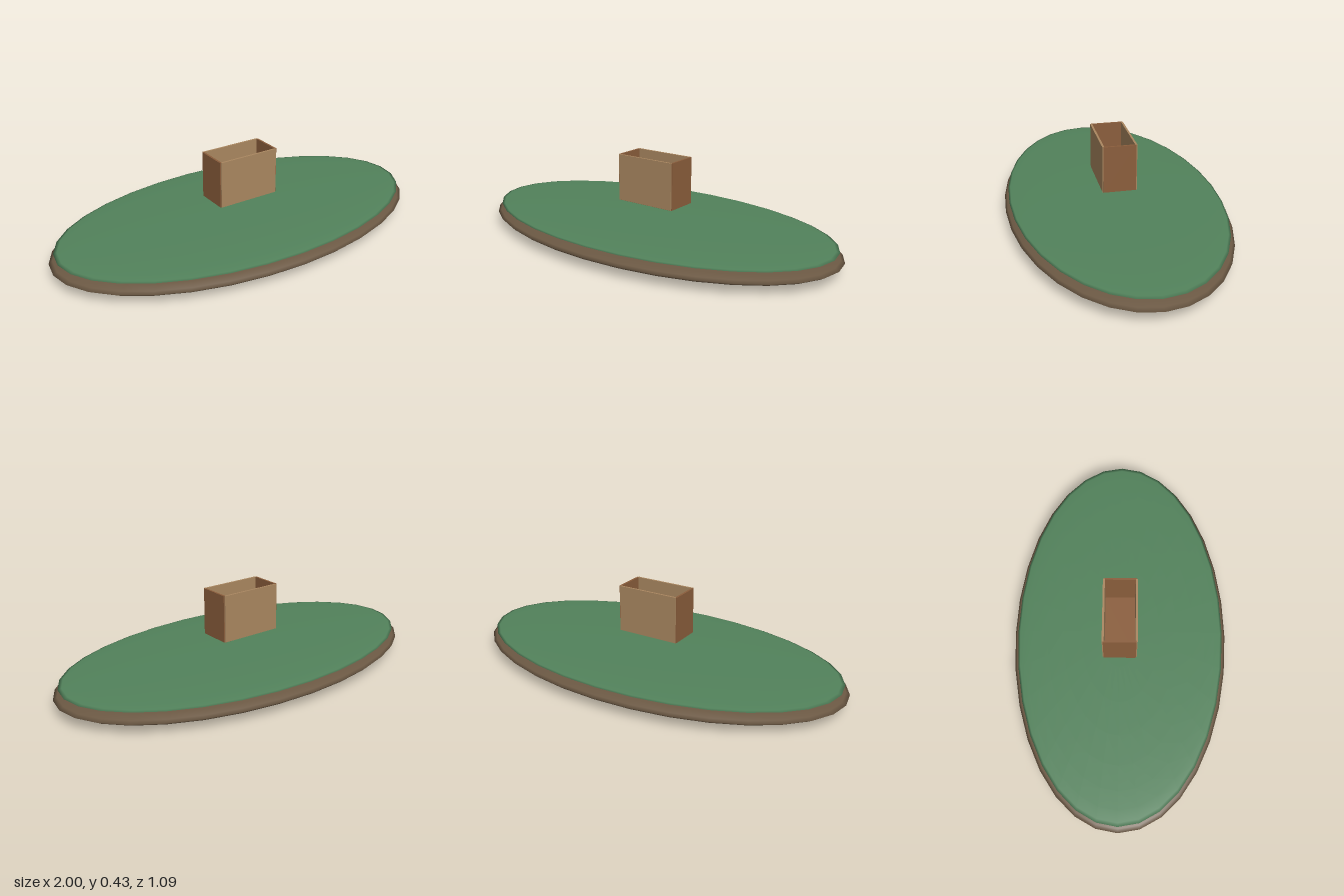
import * as THREE from 'three';

const material = (name, color) => {
  const m = new THREE.MeshStandardMaterial({ color });
  m.name = name;
  return m;
};

export function createModel() {
  const group = new THREE.Group();
  const earth = material('earth brown', 0x6b5843);
  const green = material('grass green', 0x52825b);
  const tan = material('light wood', 0xaa8760);
  const brown = material('dark wood', 0x8b5e3c);

  const add = (name, geometry, mat, x, y, z) => {
    const mesh = new THREE.Mesh(geometry, mat);
    mesh.name = name;
    mesh.position.set(x, y, z);
    group.add(mesh);
    return mesh;
  };

  // Flattened ground and the grass layer lying over it
  const ball = new THREE.SphereGeometry(1, 32, 16);
  add('ground', ball, earth, 0, 0.0585, 0).scale.set(1, 0.0585, 0.545);
  add('grass', ball, green, 0, 0.104, 0).scale.set(0.975, 0.0185, 0.525);

  // Open box hovering above the grass: panels overlap by half at the corners
  const t = 0.01, w = 0.32, d = 0.16, h = 0.235, y = 0.313;
  const longWall = new THREE.BoxGeometry(w, h, t);
  const shortWall = new THREE.BoxGeometry(t, h, d);
  add('frontWall', longWall, tan, 0, y, d / 2);
  add('backWall', longWall, tan, 0, y, -d / 2);
  add('leftWall', shortWall, brown, w / 2, y, 0);
  add('rightWall', shortWall, brown, -w / 2, y, 0);
  add('boxFloor', new THREE.BoxGeometry(w, t, d), brown, 0, 0.198, 0);

  return group;
}
